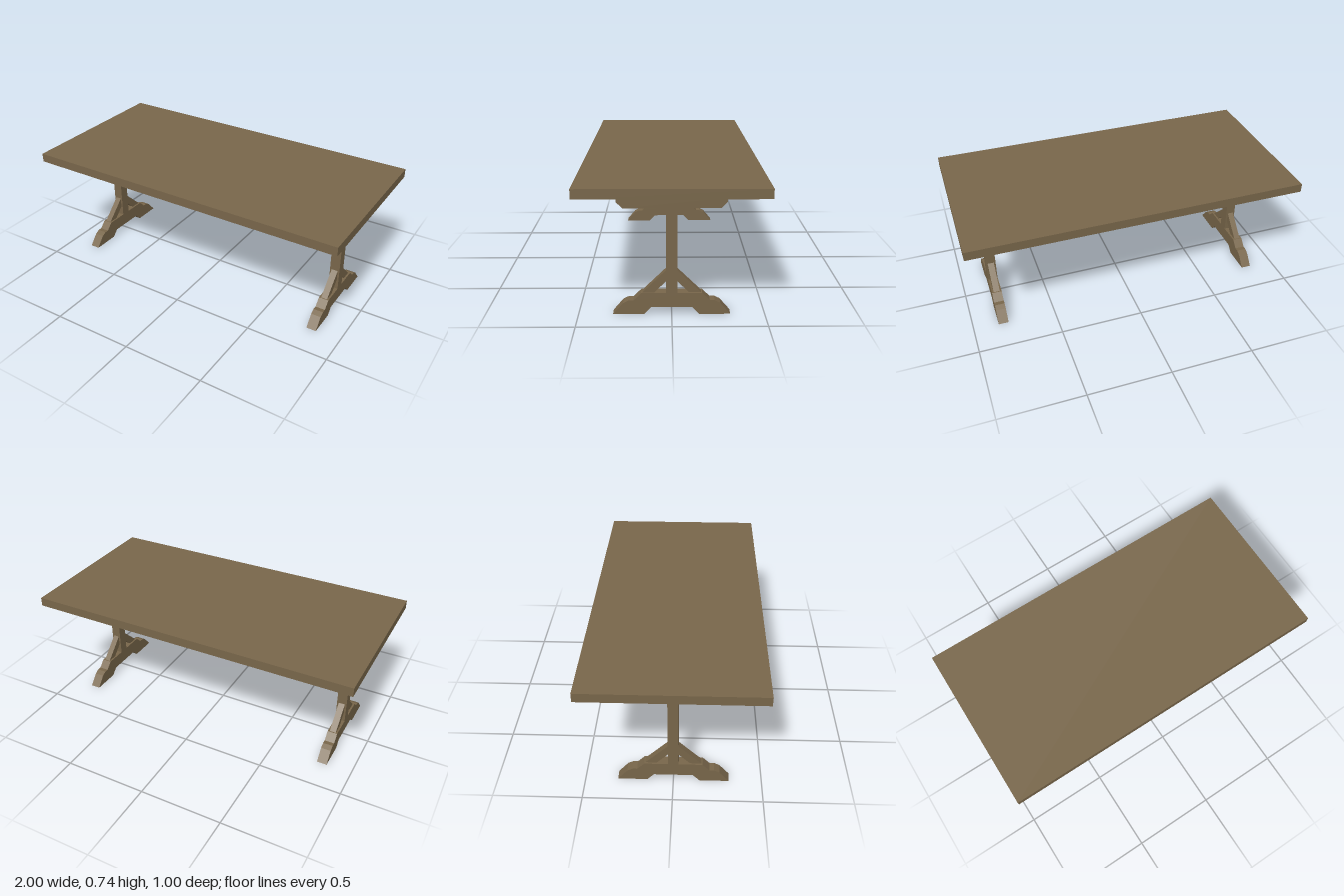
import * as THREE from 'three';
import { toCreasedNormals } from 'three/addons/utils/BufferGeometryUtils.js';

const wood = new THREE.MeshStandardMaterial({ color: 0x78664a });
wood.name = 'brown wood';

function part(name, geometry) {
  const mesh = new THREE.Mesh(geometry, wood);
  mesh.name = name;
  return mesh;
}

// Extrude an outline, centred on its thickness.
function slab(points, thickness) {
  const shape = new THREE.Shape(points.map(([a, b]) => new THREE.Vector2(a, b)));
  return new THREE.ExtrudeGeometry(shape, { depth: thickness, bevelEnabled: false })
    .translate(0, 0, -thickness / 2);
}

// Outline given as [z, y], thickness along x.
const crossSlab = (points, thickness) => slab(points, thickness).rotateY(-Math.PI / 2);

// Complete a half outline by mirroring it about z = 0.
const mirrored = (half) => [...half, ...half.map(([z, y]) => [-z, y]).reverse()];

// One trestle; side is +1 for the left end and -1 for the right end.
function trestle(side) {
  const group = new THREE.Group();
  group.name = side > 0 ? 'leftTrestle' : 'rightTrestle';

  // Shaped foot with a raised middle
  group.add(part('foot', crossSlab(mirrored([
    [0.11, 0.04], [0.148, 0], [0.315, 0], [0.26, 0.065], [0.23, 0.08], [0.204, 0.08], [0.163, 0.122],
  ]), 0.06)));

  // Upright post
  group.add(part('post', new THREE.BoxGeometry(0.06, 0.483, 0.06).translate(0, 0.3615, 0)));

  // Stepped cleat under the top, softly rounded at its lower ends
  group.add(part('cleat', toCreasedNormals(crossSlab(mirrored([
    [0.253, 0.603], [0.285, 0.635], [0.285, 0.657], [0.304, 0.657], [0.304, 0.685],
  ]), 0.115), 0.9)));

  // Diagonal braces between foot and post
  for (const s of [1, -1]) {
    const outline = [[0.03, 0.185], [0.093, 0.122], [0.157, 0.122], [0.03, 0.248]];
    group.add(part('footBrace', crossSlab(outline.map(([z, y]) => [s * z, y]), 0.038)));
  }

  // Diagonal brace from post to the underside of the top
  const brace = [[0.035, 0.528], [0.035, 0.588], [0.138, 0.685], [0.198, 0.685]];
  group.add(part('topBrace', slab(brace.map(([x, y]) => [-side * x, y]), 0.04)));

  group.position.x = side * 0.819;
  return group;
}

export function createModel() {
  const table = new THREE.Group();
  table.name = 'trestleTable';
  table.add(part('tableTop', new THREE.BoxGeometry(2, 0.053, 1).translate(0, 0.7115, 0)));
  table.add(trestle(1), trestle(-1));
  return table;
}
